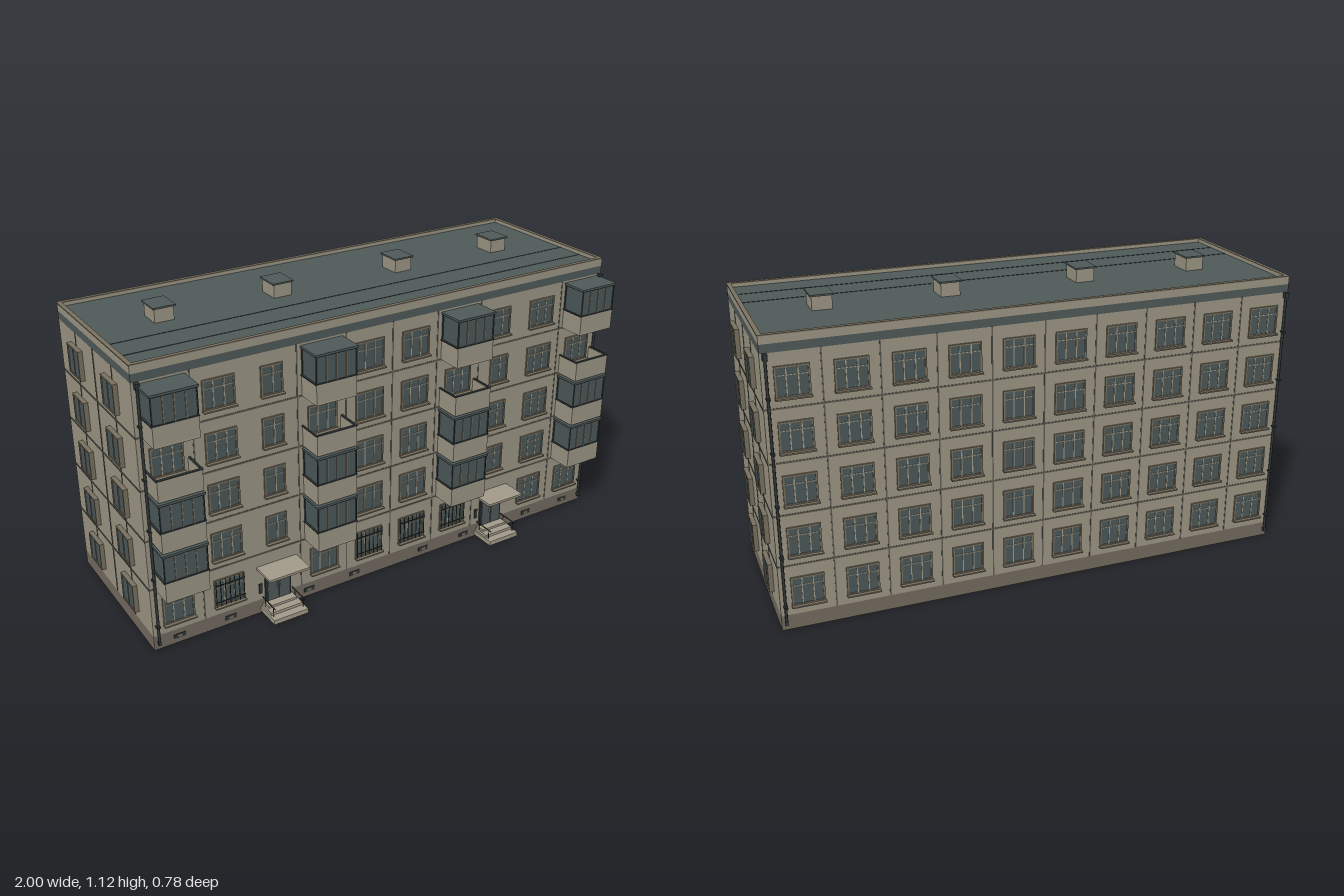
import * as THREE from 'three';

const mat = (name, color) => new THREE.MeshStandardMaterial({ name, color });

export function createModel() {
  const M = {
    wall: mat('wall panel', 0x9a9483), plinth: mat('plinth', 0x736a5f), joint: mat('panel joint', 0x605c53),
    roof: mat('roofing', 0x4e5958), glass: mat('glass', 0x4b5758), frame: mat('window frame', 0x78705f),
    bar: mat('pale mullion', 0xa39c88), metal: mat('dark metal', 0x2f3535), concrete: mat('concrete', 0xa29b89),
  };
  const model = new THREE.Group();
  model.name = 'apartmentBlock';

  const group = (name, parent = model) => {
    const g = new THREE.Group();
    g.name = name;
    parent.add(g);
    return g;
  };
  // Box given by its extents along each axis
  const box = (parent, name, m, x0, x1, y0, y1, z0, z1) => {
    const mesh = new THREE.Mesh(new THREE.BoxGeometry(x1 - x0, y1 - y0, z1 - z0), m);
    mesh.position.set((x0 + x1) / 2, (y0 + y1) / 2, (z0 + z1) / 2);
    mesh.name = name;
    parent.add(mesh);
    return mesh;
  };
  const rod = (parent, name, r, x, y0, y1, z) => {
    const mesh = new THREE.Mesh(new THREE.CylinderGeometry(r, r, y1 - y0, 8), M.metal);
    mesh.position.set(x, (y0 + y1) / 2, z);
    mesh.name = name;
    parent.add(mesh);
  };

  const X = 0.982, ZF = 0.29, ZB = -0.366, BASE = 0.057, H = 0.1925, TOP = 1.02, BAY = 0.196;
  const floorY = (i) => BASE + H * i;

  // Main body
  const body = group('body');
  box(body, 'plinth', M.plinth, -X, X, 0, BASE, ZB, ZF);
  box(body, 'walls', M.wall, -X, X, BASE, TOP, ZB, ZF);
  box(body, 'corniceBand', M.roof, -X, X, TOP, 1.05, ZB, ZF);
  box(body, 'roofDeck', M.roof, -X + 0.012, X - 0.012, 1.05, 1.066, ZB + 0.012, ZF - 0.012);
  for (const s of [-1, 1]) {
    const x = s * (X - 0.006);
    box(body, 'sideParapet', M.wall, x - 0.006, x + 0.006, 1.05, 1.08, ZB, ZF);
    box(body, 'sideCoping', M.frame, x - 0.008, x + 0.008, 1.078, 1.082, ZB - 0.002, ZF + 0.002);
  }
  for (const z of [ZB + 0.006, ZF - 0.006]) {
    box(body, 'longParapet', M.wall, -X, X, 1.05, 1.08, z - 0.006, z + 0.006);
    box(body, 'longCoping', M.frame, -X, X, 1.078, 1.082, z - 0.008, z + 0.008);
  }
  // Roofing seams
  for (const z of [0.065, 0.175]) box(body, 'roofSeam', M.metal, -X + 0.012, X - 0.012, 1.065, 1.0672, z - 0.002, z + 0.002);

  // Panel joints
  const joints = group('panelJoints');
  for (let i = 1; i < 5; i++) {
    const y = floorY(i);
    box(joints, 'floorJoint', M.joint, -X - 0.0015, X + 0.0015, y - 0.003, y + 0.003, ZB - 0.0015, ZF + 0.0015);
  }
  for (let k = -4; k <= 4; k++) {
    const x = k * BAY;
    box(joints, 'backJoint', M.joint, x - 0.0025, x + 0.0025, BASE, TOP, ZB - 0.0015, ZB + 0.01);
    if (Math.abs(k) !== 3) box(joints, 'frontJoint', M.joint, x - 0.0025, x + 0.0025, BASE, TOP, ZF - 0.01, ZF + 0.0015);
  }
  for (const [z, w] of [[0.13, 0.002], [-0.038, 0.0035], [-0.2, 0.002]])
    box(joints, 'gableJoint', M.joint, -X - 0.0015, X + 0.0015, BASE, TOP, z - w, z + w);

  // Window facing local +z, its lower middle at the group's origin
  const windows = group('windows');
  const addWindow = (x, y, z, turn, w, mullions, { transom = true, depth = 0.006, sill = true, barred = false } = {}) => {
    const g = group('window', windows), h = 0.11, r = w / 2, t = 0.006;
    g.position.set(x, y, z);
    g.rotation.y = turn;
    box(g, 'glass', M.glass, -r + t, r - t, t, h - t, -0.004, depth - 0.003);
    for (const s of [-1, 1]) {
      const c = s * (r - t / 2);
      box(g, 'jamb', M.frame, c - t / 2, c + t / 2, 0, h, -0.004, depth);
    }
    box(g, 'head', M.frame, -r, r, h - t, h, -0.004, depth);
    box(g, 'bottomRail', M.frame, -r, r, 0, t, -0.004, depth);
    const inner = sill ? M.bar : M.frame;
    for (const m of mullions) box(g, 'mullion', inner, m * w - 0.002, m * w + 0.002, t, h - t, 0, depth - 0.001);
    if (transom) box(g, 'transom', inner, -r + t, r - t, 0.076, 0.079, 0, depth - 0.001);
    if (sill) box(g, 'sill', M.frame, -r - 0.002, r + 0.002, -0.004, 0.001, -0.004, 0.019);
    if (barred) {
      for (let i = 0; i < 7; i++) {
        const c = (i / 6 - 0.5) * (w - 0.008);
        box(g, 'securityBar', M.metal, c - 0.0012, c + 0.0012, 0.003, h, 0.009, 0.0115);
      }
      for (const c of [0.02, 0.09]) box(g, 'securityRail', M.metal, -r, r, c - 0.0012, c + 0.0012, 0.009, 0.0115);
    }
  };

  const THIRDS = [-0.17, 0.17];
  for (let f = 0; f < 5; f++) {
    const y = floorY(f) + 0.036;
    for (let b = 0; b < 10; b++) {
      const x = (b - 4.5) * BAY;
      addWindow(x, y, ZB, Math.PI, 0.118, THIRDS);
      const narrow = b === 2 || b === 7;
      if (narrow && f === 0) continue;
      addWindow(x, y, ZF, 0, narrow ? 0.084 : 0.118, narrow ? [0.05] : THIRDS,
        { barred: f === 0 && [1, 4, 5, 6].includes(b) });
    }
    for (const s of [-1, 1]) for (const z of [0.118, -0.197])
      addWindow(s * X, y, z, s * Math.PI / 2, 0.108, [0], { transom: false, depth: 0.017, sill: false });
  }

  // Balconies: glazed on all floors but the fourth
  const balconies = group('balconies');
  const addBalcony = (x, y, glazed) => {
    const g = group(glazed ? 'glazedBalcony' : 'openBalcony', balconies);
    g.position.set(x, y, ZF);
    const r = 0.08, d = 0.1, p = 0.076;
    box(g, 'slab', M.concrete, -r, r, 0, 0.008, -0.002, d);
    box(g, 'frontPanel', M.wall, -r, r, 0.004, p, d - 0.008, d);
    for (const s of [-1, 1]) box(g, 'sidePanel', M.wall, s * (r - 0.003) - 0.003, s * (r - 0.003) + 0.003, 0.004, p, 0, d - 0.004);
    box(g, 'frontRail', M.metal, -r - 0.002, r + 0.002, p, p + 0.004, d - 0.009, d + 0.001);
    for (const s of [-1, 1]) box(g, 'sideRail', M.metal, s * r - 0.004, s * r + 0.003, p, p + 0.004, 0, d);
    if (!glazed) return;
    box(g, 'glazing', M.glass, -r + 0.003, r - 0.003, p, 0.18, 0, d - 0.003);
    for (let i = 0; i < 5; i++) {
      const c = (i / 4 - 0.5) * (2 * r - 0.004);
      const m = i % 4 ? M.frame : M.metal;
      box(g, 'glazingPost', m, c - 0.002, c + 0.002, p, 0.18, d - 0.006, d);
    }
    for (const s of [-1, 1]) {
      const c = s * (r - 0.002);
      box(g, 'wallPost', M.metal, c - 0.002, c + 0.002, p, 0.18, 0, 0.005);
    }
    box(g, 'canopy', M.roof, -r - 0.004, r + 0.004, 0.18, 0.186, 0, d + 0.003);
    box(g, 'canopyEdge', M.metal, -r - 0.003, r + 0.003, 0.176, 0.181, 0, d + 0.002);
  };
  for (const x of [-0.882, -0.294, 0.294, 0.882])
    for (let f = 1; f < 5; f++) addBalcony(x, floorY(f), f !== 3);

  // Entrances with canopy, door, steps and handrails
  for (const x of [-0.493, 0.487]) {
    const g = group('entrance');
    g.position.set(x, 0, ZF);
    box(g, 'canopy', M.concrete, -0.082, 0.082, 0.19, 0.199, -0.002, 0.1);
    box(g, 'doorFrame', M.metal, -0.052, 0.052, 0.045, 0.178, -0.002, 0.008);
    for (const s of [-1, 1]) {
      const c = s * 0.023;
      box(g, 'doorLeaf', M.roof, c - 0.021, c + 0.021, 0.048, 0.172, 0, 0.011);
      box(g, 'doorHandle', M.bar, s * 0.006 - 0.0015, s * 0.006 + 0.0015, 0.098, 0.118, 0.01, 0.015);
    }
    box(g, 'lamp', M.metal, 0.063, 0.082, 0.138, 0.148, 0, 0.014);
    box(g, 'noticeBoard', M.metal, -0.076, -0.063, 0.085, 0.125, 0, 0.004);
    box(g, 'landing', M.concrete, -0.058, 0.058, 0.028, 0.045, -0.002, 0.04);
    box(g, 'middleStep', M.concrete, -0.064, 0.064, 0.018, 0.036, -0.002, 0.07);
    box(g, 'lowerStep', M.concrete, -0.07, 0.07, 0.007, 0.025, -0.002, 0.102);
    for (const s of [-1, 1]) {
      const c = s * 0.061;
      box(g, 'handrail', M.metal, c - 0.0015, c + 0.0015, 0.063, 0.066, 0, 0.094);
      for (const z of [0.02, 0.08]) rod(g, 'handrailPost', 0.0015, c, 0.024, 0.064, z);
    }
  }

  // Plinth vents
  for (const s of [-1, 1]) for (const x of [0.16, 0.36, 0.685, 0.885]) {
    box(model, 'plinthVent', M.metal, s * x - 0.022, s * x + 0.022, 0.02, 0.037, ZF - 0.004, ZF + 0.002);
    box(model, 'ventSlat', M.frame, s * x - 0.008, s * x + 0.008, 0.023, 0.034, ZF, ZF + 0.003);
  }

  // Drainpipes at the corners
  const pipes = group('drainpipes');
  for (const s of [-1, 1]) for (const [z, out] of [[ZF + 0.012, 1], [ZB - 0.013, -1]]) {
    const x = s * 0.966;
    rod(pipes, 'drainpipe', 0.005, x, 0.03, 1.02, z);
    box(pipes, 'hopper', M.metal, x - 0.008, x + 0.008, 1.0, 1.022, z - 0.008, z + 0.008);
    for (let i = 0; i < 5; i++)
      box(pipes, 'bracket', M.metal, x - 0.007, x + 0.007, floorY(i) + 0.04, floorY(i) + 0.045, z - 0.013, z + 0.007);
    const shoe = box(pipes, 'shoe', M.metal, x - 0.005, x + 0.005, 0.025, 0.04, z - 0.006, z + 0.006);
    shoe.rotation.x = -out * 0.5;
  }

  // Roof ventilation shafts
  for (const x of [-0.722, -0.263, 0.26, 0.72]) {
    const g = group('ventShaft');
    g.position.set(x, 1.06, -0.073);
    box(g, 'shaft', M.wall, -0.036, 0.036, 0, 0.056, -0.044, 0.044);
    box(g, 'cap', M.roof, -0.042, 0.042, 0.056, 0.062, -0.05, 0.05);
  }
  return model;
}
